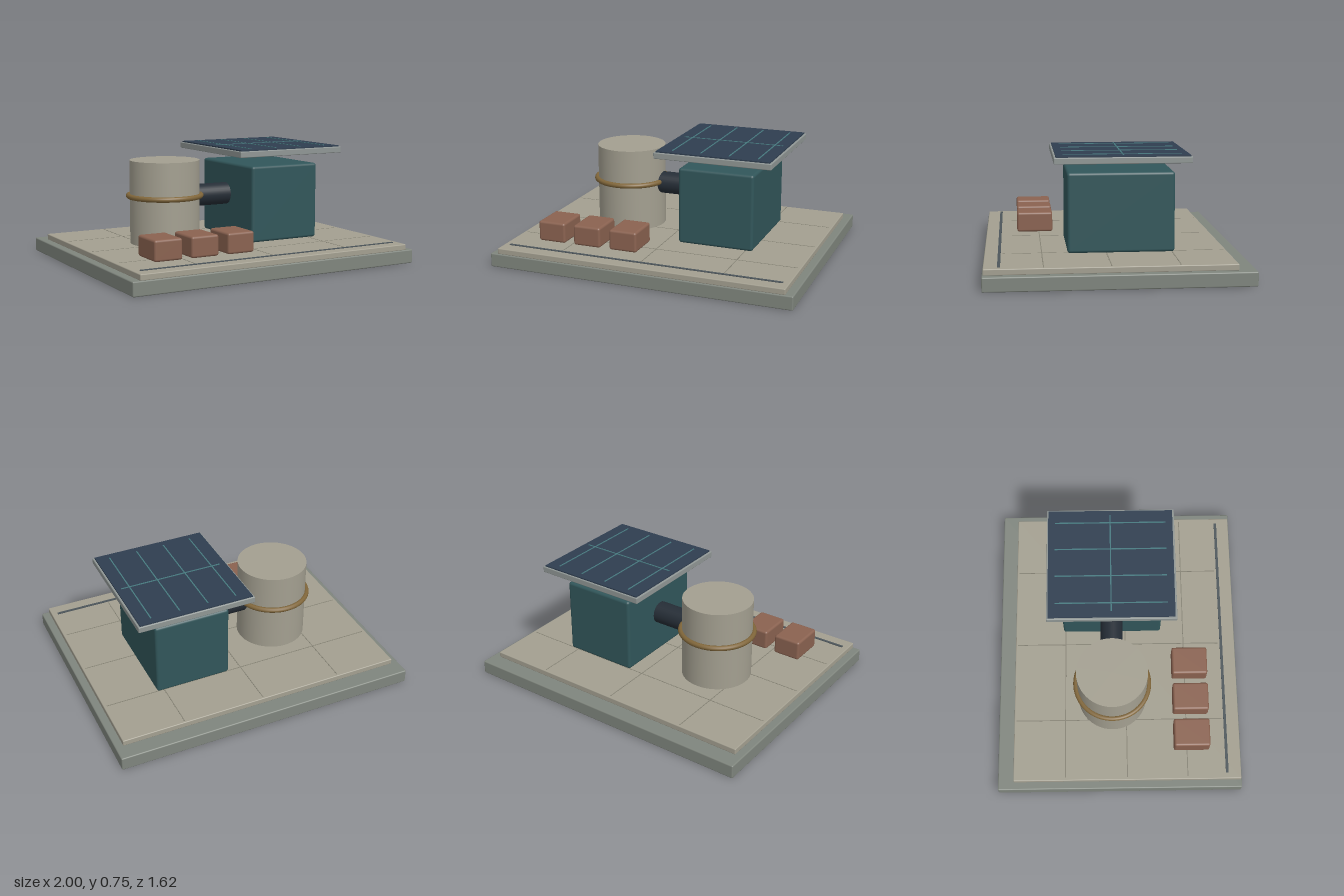
import * as THREE from 'three';
import { RoundedBoxGeometry } from 'three/addons/geometries/RoundedBoxGeometry.js';

const mat = (color) => new THREE.MeshStandardMaterial({ color });

export function createModel() {
  const model = new THREE.Group();
  const stone = mat(0x7f857d), sand = mat(0xa39f90), teal = mat(0x31565a), frameGrey = mat(0x8f9694);
  const navy = mat(0x2f3e50), line = mat(0x477a80), brick = mat(0x8a6250), brass = mat(0x80663a);
  const dark = mat(0x252d36), seam = mat(0x858274), slot = mat(0x4c555a);

  function add(name, geometry, material, x, y, z) {
    const mesh = new THREE.Mesh(geometry, material);
    mesh.name = name;
    mesh.position.set(x, y, z);
    model.add(mesh);
    return mesh;
  }
  // Box given by its limits along each axis; r rounds the edges
  function box(name, material, [x0, x1], [y0, y1], [z0, z1], r = 0) {
    const size = [x1 - x0, y1 - y0, z1 - z0];
    const geometry = r ? new RoundedBoxGeometry(...size, 3, r) : new THREE.BoxGeometry(...size);
    return add(name, geometry, material, (x0 + x1) / 2, (y0 + y1) / 2, (z0 + z1) / 2);
  }

  // Ground plates
  box('base', stone, [-1, 1], [0, 0.09], [-0.81, 0.81], 0.008);
  box('floorSlab', sand, [-0.95, 0.95], [0.088, 0.127], [-0.705, 0.803], 0.006);
  for (const x of [-0.54, 0, 0.54]) box('floorSeam', seam, [x - 0.003, x + 0.003], [0.12, 0.128], [-0.69, 0.69]);
  for (const z of [-0.36, 0.05, 0.45]) box('floorSeam', seam, [-0.93, 0.93], [0.12, 0.128], [z - 0.003, z + 0.003]);
  box('frontStrip', slot, [-0.91, 0.91], [0.12, 0.131], [0.702, 0.72]);

  // Tank with its hoop, and the pipe to the housing
  const tx = -0.377, tz = -0.043;
  add('tank', new THREE.CylinderGeometry(0.228, 0.228, 0.543, 48), sand, tx, 0.3985, tz);
  add('tankHoop', new THREE.TorusGeometry(0.237, 0.017, 12, 64), brass, tx, 0.437, tz).rotation.x = Math.PI / 2;
  add('pipe', new THREE.CylinderGeometry(0.073, 0.073, 0.28, 32), dark, -0.06, 0.422, tz).rotation.z = Math.PI / 2;

  // Housing
  box('housing', teal, [0.09, 0.59], [0.13, 0.63], [-0.373, 0.293], 0.018);

  // Solar roof: tray, panel and cell lines
  box('panelTray', frameGrey, [-0.047, 0.725], [0.7, 0.74], [-0.458, 0.378], 0.005);
  box('solarPanel', navy, [-0.035, 0.713], [0.738, 0.748], [-0.449, 0.366]);
  for (const x of [0.062, 0.25, 0.438, 0.626]) {
    box('cellLine', line, [x - 0.004, x + 0.004], [0.745, 0.751], [-0.405, 0.32]);
  }
  box('cellCrossLine', line, [0.005, 0.68], [0.745, 0.751], [-0.047, -0.039]);

  // Row of crates
  for (const x of [-0.667, -0.42, -0.17]) {
    box('crate', brick, [x - 0.093, x + 0.093], [0.138, 0.27], [0.36, 0.597], 0.015);
  }
  return model;
}
